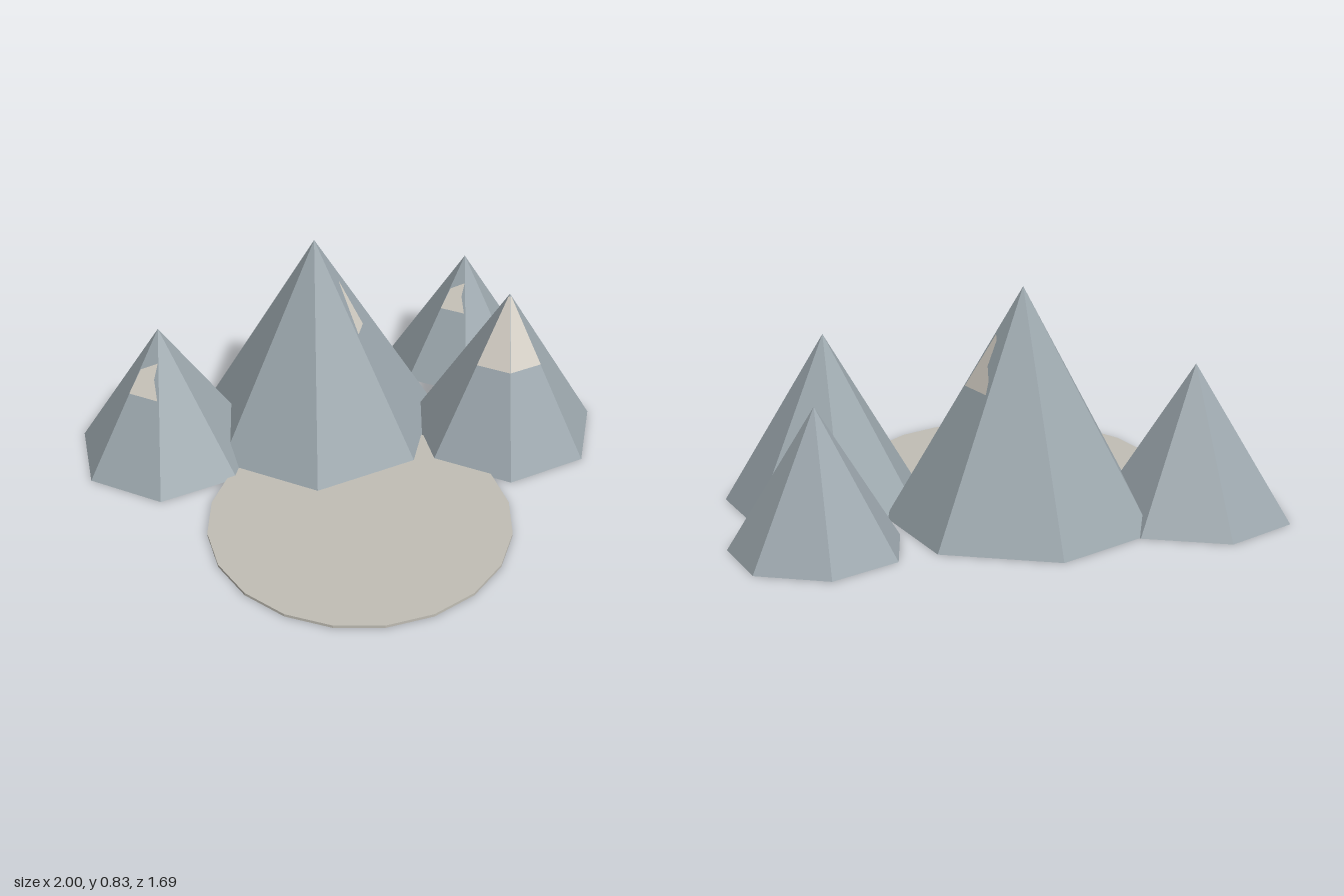
import * as THREE from 'three';

const SIDES = 7;
const HALF = Math.PI / SIDES;

// Snow outlines on one cone face: [across the face -1..1, height fraction 0..1]
const fullSnow = [[-1, 0.58], [1, 0.58], [1, 0.985], [-1, 0.985]];
const lowSnow = [[-1, 0.58], [0.9, 0.58], [0.6, 0.7], [0.95, 0.8], [-0.9, 0.74]];
const sideSnow = [[-0.9, 0.58], [0, 0.58], [0.1, 0.8], [-0.4, 0.72]];
const hookSnow = [[-0.9, 0.58], [0.85, 0.58], [0.7, 0.63], [0.1, 0.68], [-0.2, 0.78], [-0.7, 0.8]];

// Faces are counted from the front (0), positive towards +x
const PEAKS = [
  { name: 'mainPeak', x: -0.05, z: -0.362, r: 0.484, h: 0.828, snow: [[1, sideSnow], [2, hookSnow]] },
  { name: 'rightPeak', x: -0.652, z: -0.474, r: 0.357, h: 0.545, snow: [[-1, lowSnow]] },
  { name: 'frontPeak', x: 0.59, z: 0.013, r: 0.372, h: 0.62, snow: [[-1, fullSnow], [0, fullSnow]] },
  { name: 'leftPeak', x: 0.702, z: -0.509, r: 0.301, h: 0.49, snow: [[-1, lowSnow]] },
];

// Lays a flat outline onto one sloping face, just above the rock
function snowPatch(outline, face, r, h) {
  const geometry = new THREE.ShapeGeometry(
    new THREE.Shape(outline.map(([s, t]) => new THREE.Vector2(s, t))));
  const angle = face * 2 * HALF;
  const sin = Math.sin(angle), cos = Math.cos(angle);
  const p = geometry.attributes.position;
  for (let i = 0; i < p.count; i++) {
    const s = p.getX(i), t = p.getY(i);
    const out = r * (1 - t) * Math.cos(HALF) + 0.002;
    const across = r * (1 - t) * Math.sin(HALF) * s;
    p.setXYZ(i, out * sin + across * cos, t * h + 0.001, out * cos - across * sin);
  }
  geometry.computeVertexNormals();
  return geometry;
}

export function createModel() {
  const rock = new THREE.MeshStandardMaterial({ color: 0x9aa5ab, flatShading: true });
  rock.name = 'rock grey';
  const snow = new THREE.MeshStandardMaterial({ color: 0xd2cdc3, flatShading: true });
  snow.name = 'snow';
  const ground = new THREE.MeshStandardMaterial({ color: 0xc0bdb4, flatShading: true });
  ground.name = 'pale ground';

  const model = new THREE.Group();
  model.name = 'mountains';

  // Seven-sided peaks with patches of snow
  for (const { name, x, z, r, h, snow: patches } of PEAKS) {
    const peak = new THREE.Group();
    peak.name = name;
    peak.position.set(x, 0, z);
    const cone = new THREE.Mesh(new THREE.ConeGeometry(r, h, SIDES), rock);
    cone.name = 'rockCone';
    cone.position.y = h / 2;
    cone.rotation.y = Math.PI;
    peak.add(cone);
    for (const [face, outline] of patches) {
      const patch = new THREE.Mesh(snowPatch(outline, face, r, h), snow);
      patch.name = 'snowPatch';
      peak.add(patch);
    }
    model.add(peak);
  }

  // Thin round clearing in front of the peaks
  const clearing = new THREE.Mesh(new THREE.CylinderGeometry(0.564, 0.564, 0.011, 20), ground);
  clearing.name = 'clearing';
  clearing.position.set(-0.184, 0.0055, 0.28);
  model.add(clearing);

  return model;
}
